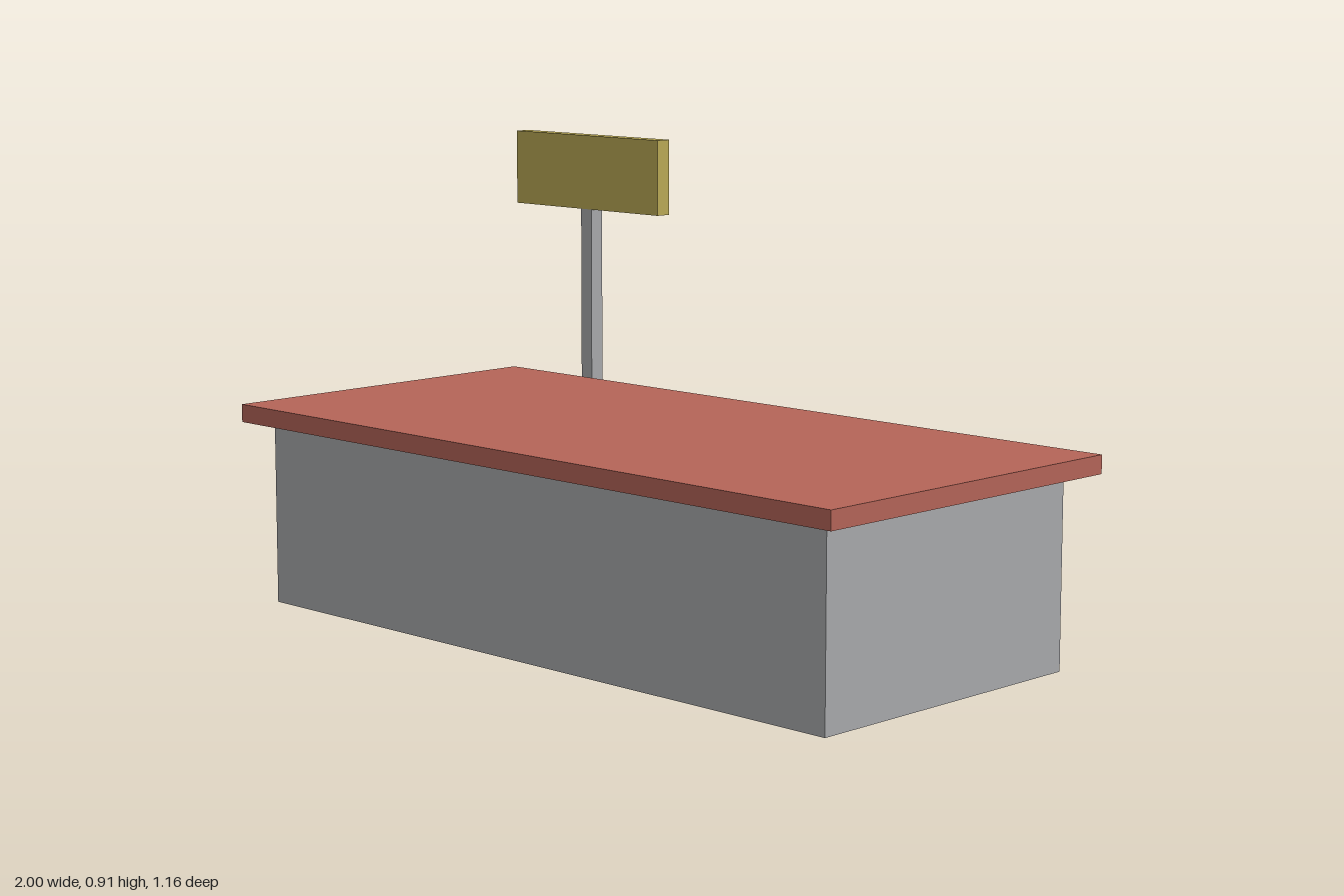
import * as THREE from 'three';

const paint = (name, color) => {
  const material = new THREE.MeshStandardMaterial({ color });
  material.name = name;
  return material;
};

// Box given by its [min, max] extents along each axis
function block(name, material, [x0, x1], [y0, y1], [z0, z1]) {
  const mesh = new THREE.Mesh(new THREE.BoxGeometry(x1 - x0, y1 - y0, z1 - z0), material);
  mesh.position.set((x0 + x1) / 2, (y0 + y1) / 2, (z0 + z1) / 2);
  mesh.name = name;
  return mesh;
}

export function createModel() {
  const concrete = paint('concrete grey', 0xa9aaac);
  const roofRed = paint('roof red', 0xb56558);
  const signYellow = paint('sign yellow', 0xbaa956);
  const glass = paint('window blue grey', 0x576876);

  const model = new THREE.Group();
  model.name = 'roadsideBuilding';

  // Low building with an overhanging flat roof and a long rear window
  const building = new THREE.Group();
  building.name = 'building';
  building.add(
    block('walls', concrete, [-0.572, 0.947], [0, 0.379], [-0.132, 0.534]),
    block('roof', roofRed, [-0.62, 0.998], [0.379, 0.416], [-0.181, 0.581]),
    block('rearWindow', glass, [-0.38, 0.765], [0.146, 0.278], [-0.138, -0.131]),
  );

  // Free-standing sign on a square post
  const sign = new THREE.Group();
  sign.name = 'sign';
  sign.add(
    block('signPost', concrete, [-0.781, -0.747], [0, 0.735], [-0.58, -0.545]),
    block('signBoard', signYellow, [-1, -0.528], [0.735, 0.907], [-0.581, -0.544]),
  );

  model.add(building, sign);
  return model;
}
